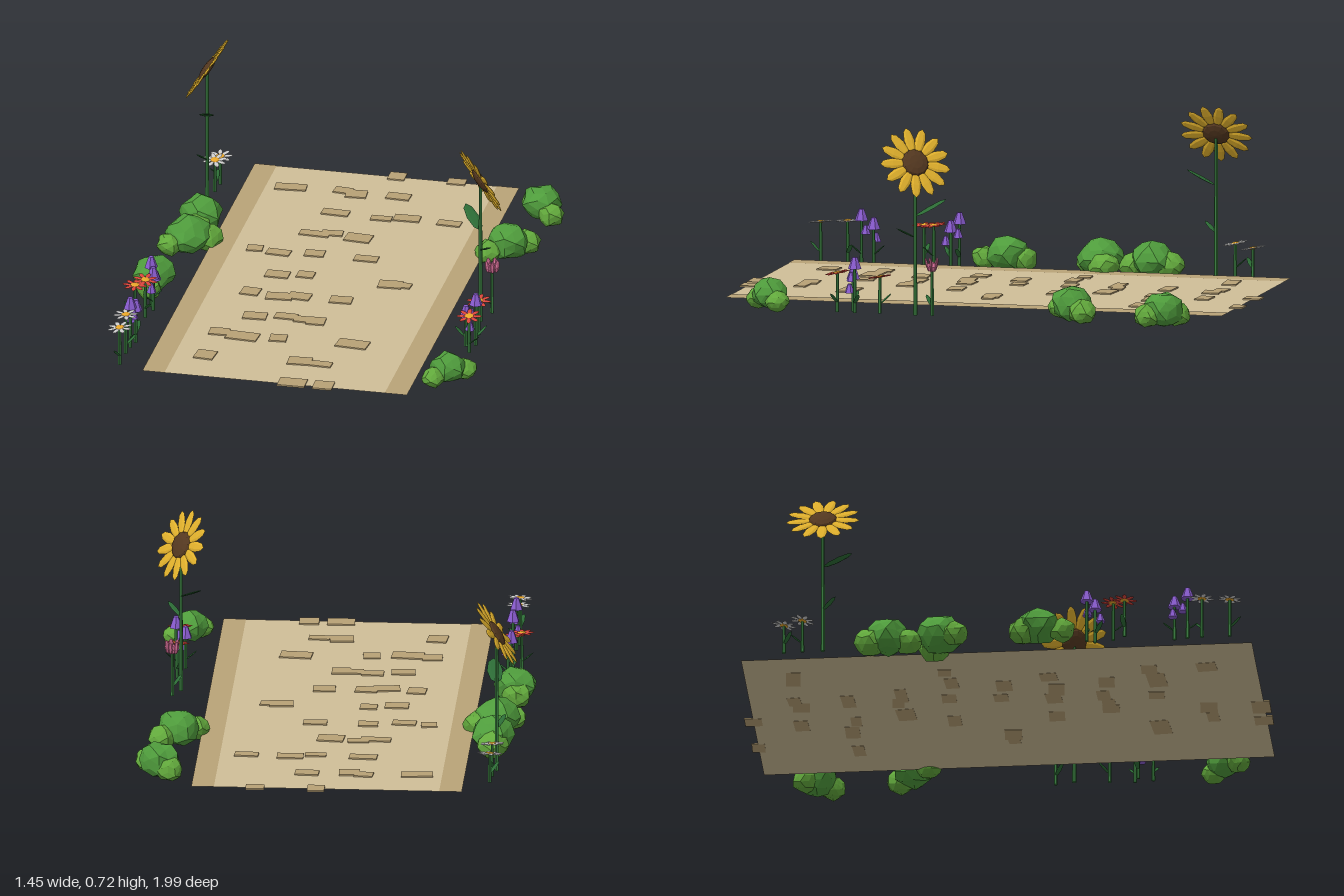
import * as THREE from 'three';

const mats = {};
const mat = (color) => (mats[color] ??= new THREE.MeshStandardMaterial({ color, flatShading: true, side: THREE.DoubleSide }));
const V = (x, y, z) => new THREE.Vector3(x, y, z);
const UP = V(0, 1, 0);
const GREEN = 0x3a8040, LEAF = 0x2c6b35, GOLD = 0xe0b02c, SEED = 0x543820;
const PURPLE = 0x8a5cd0, RED = 0xd8453c, WHITE = 0xeeeeee, ORANGE = 0xe8a62a, PINK = 0xd9709a;

function add(parent, name, geometry, color, x = 0, y = 0, z = 0) {
  const mesh = new THREE.Mesh(geometry, mat(color));
  mesh.name = name;
  mesh.position.set(x, y, z);
  parent.add(mesh);
  return mesh;
}

// Slim pointed blade between two points, flat side turned up (petals and leaves)
function blade(parent, name, from, to, width, thick, color) {
  const dir = to.clone().sub(from), len = dir.length();
  dir.normalize();
  const side = Math.abs(dir.y) > 0.95 ? V(1, 0, 0) : V(0, 1, 0).cross(dir).normalize();
  const flat = side.clone().cross(dir);
  const m = add(parent, name, new THREE.SphereGeometry(1, 6, 4), color);
  m.quaternion.setFromRotationMatrix(new THREE.Matrix4().makeBasis(side, dir, flat));
  m.scale.set(width / 2, len / 2, thick / 2);
  m.position.copy(from).add(to).multiplyScalar(0.5);
}

// Flower disc with petals, facing its own +y
function head(parent, n, inner, outer, width, thick, color, discColor, discR) {
  const g = new THREE.Group();
  g.name = 'flowerHead';
  for (let i = 0; i < n; i++) {
    const a = (i / n) * Math.PI * 2, c = Math.cos(a), s = Math.sin(a);
    blade(g, 'petal', V(c * inner, 0, s * inner), V(c * outer, 0, s * outer), width, thick, color);
  }
  const disc = add(g, 'flowerCentre', new THREE.SphereGeometry(discR, 10, 6), discColor);
  disc.scale.y = 0.28;
  parent.add(g);
  return g;
}

function stem(parent, x, z, y0, y1, r) {
  add(parent, 'stem', new THREE.CylinderGeometry(r * 0.8, r, y1 - y0, 6), GREEN, x, (y0 + y1) / 2, z);
}

function sunflower(x, y, z, normal, leaves) {
  const g = new THREE.Group();
  g.name = 'sunflower';
  stem(g, x, z, 0.02, y, 0.008);
  const h = head(g, 13, 0.04, 0.14, 0.042, 0.01, GOLD, SEED, 0.054);
  h.position.set(x, y, z);
  h.quaternion.setFromUnitVectors(UP, normal.normalize());
  for (const [ly, dx, dy, dz, w] of leaves)
    blade(g, 'leaf', V(x, ly, z), V(x + dx, ly + dy, z + dz), w, 0.008, LEAF);
  return g;
}

function smallStem(x, y, z, k) {
  const g = new THREE.Group();
  stem(g, x, z, 0.025, y, 0.007);
  const a = k * 2.4;
  blade(g, 'leaf', V(x, 0.06, z), V(x + Math.cos(a) * 0.045, 0.1, z + Math.sin(a) * 0.045), 0.02, 0.006, LEAF);
  return g;
}

function daisy(x, y, z, color, k) {
  const g = smallStem(x, y, z, k);
  g.name = 'daisy';
  const h = head(g, 8, 0.01, 0.048, 0.018, 0.006, color, ORANGE, 0.018);
  h.position.set(x, y, z);
  h.rotation.set(0.12, k, 0.08);
  return g;
}

function bellFlower(x, y, z, k) {
  const g = smallStem(x, y, z, k);
  g.name = 'bellFlower';
  add(g, 'bell', new THREE.CylinderGeometry(0.01, 0.026, 0.044, 6), PURPLE, x, y, z);
  const a = k * 1.7, bx = x + Math.cos(a) * 0.02, bz = z + Math.sin(a) * 0.02;
  add(g, 'lowerBell', new THREE.CylinderGeometry(0.007, 0.019, 0.034, 6), PURPLE, bx, y - 0.055, bz);
  return g;
}

function tulip(x, y, z) {
  const g = smallStem(x, y, z, 1);
  g.name = 'tulip';
  add(g, 'cup', new THREE.SphereGeometry(0.02, 6, 4), PINK, x, y, z);
  for (let i = 0; i < 5; i++) {
    const a = (i / 5) * Math.PI * 2, c = Math.cos(a), s = Math.sin(a);
    blade(g, 'petal', V(x + c * 0.012, y - 0.018, z + s * 0.012), V(x + c * 0.026, y + 0.035, z + s * 0.026), 0.02, 0.01, PINK);
  }
  return g;
}

// Lumpy faceted foliage: each blob is [x, z, radius, y, half height]
function bush(blobs, seed) {
  const g = new THREE.Group();
  g.name = 'bush';
  blobs.forEach(([x, z, r, y, ry], b) => {
    const geo = new THREE.IcosahedronGeometry(1, 1), p = geo.attributes.position;
    for (let i = 0; i < p.count; i++) {
      const v = V().fromBufferAttribute(p, i);
      const k = 0.98 + 0.09 * Math.sin(v.x * 5.1 + v.y * 7.3 + v.z * 6.2 + seed + b);
      p.setXYZ(i, v.x * k, v.y * k, v.z * k);
    }
    geo.computeVertexNormals();
    add(g, 'foliage', geo, b ? 0x62a93c : 0x4f9c3c, x, y, z).scale.set(r, ry, r);
  });
  return g;
}

export function createModel() {
  const root = new THREE.Group();
  root.name = 'gardenPath';

  // Path bed with darker borders
  const flat = (name, w, x, y, color) => {
    add(root, name, new THREE.PlaneGeometry(w, 1.93), color, x, y, 0.005).rotation.x = -Math.PI / 2;
  };
  flat('pathBed', 1.02, -0.01, 0.043, 0xcfbe98);
  flat('pathBorder', 0.085, -0.4775, 0.0445, 0xb9a378);
  flat('pathBorder', 0.085, 0.4575, 0.0445, 0xb9a378);

  // Paving stones, by row: z, then x, width, depth of each
  const rows = [
    [-0.96, [0.03, 0.065, 0.065], [0.26, 0.07, 0.05]],
    [-0.78, [-0.34, 0.12, 0.055], [-0.14, 0.07, 0.05], [-0.085, 0.08, 0.065], [0.075, 0.09, 0.055]],
    [-0.585, [-0.125, 0.105, 0.05], [0.055, 0.08, 0.04], [0.15, 0.1, 0.055], [0.315, 0.09, 0.045]],
    [-0.39, [-0.16, 0.115, 0.045], [-0.095, 0.08, 0.045], [0.01, 0.1, 0.07]],
    [-0.2, [-0.35, 0.06, 0.05], [-0.255, 0.09, 0.05], [-0.12, 0.075, 0.055], [0.08, 0.09, 0.05]],
    [0, [-0.215, 0.09, 0.06], [-0.11, 0.065, 0.055], [0.22, 0.09, 0.065], [0.265, 0.07, 0.045]],
    [0.19, [-0.28, 0.07, 0.065], [-0.165, 0.1, 0.06], [-0.09, 0.085, 0.06], [0.07, 0.085, 0.06]],
    [0.385, [-0.215, 0.09, 0.06], [-0.1, 0.085, 0.05], [-0.02, 0.09, 0.05], [0.02, 0.07, 0.065]],
    [0.575, [-0.315, 0.075, 0.06], [-0.22, 0.12, 0.07], [-0.085, 0.065, 0.06], [0.2, 0.12, 0.07]],
    [0.77, [-0.32, 0.075, 0.075], [0.04, 0.09, 0.065], [0.125, 0.08, 0.045]],
    [0.957, [0.055, 0.105, 0.07], [0.175, 0.075, 0.07]],
  ];
  rows.forEach(([z, ...stones], r) => stones.forEach(([x, w, d], i) => {
    const dz = r % 10 ? 0.012 * Math.sin(r * 3 + i * 2.2) : 0;
    add(root, 'pavingStone', new THREE.BoxGeometry(w, 0.006, d), 0xb8a175, x, 0.045, z + dz)
      .rotation.y = 0.08 * Math.sin(r * 1.9 + i * 2.7);
  }));

  // Bushes: main blob plus two side blobs
  const bushes = [
    [[-0.6, -0.4, 0.082], [-0.605, -0.465, 0.06], [-0.605, -0.325, 0.054]],
    [[-0.605, -0.2, 0.088], [-0.54, -0.23, 0.06], [-0.665, -0.14, 0.05]],
    [[-0.655, 0.175, 0.08], [-0.66, 0.115, 0.055], [-0.655, 0.265, 0.05]],
    [[0.63, -0.77, 0.078], [0.595, -0.81, 0.053], [0.68, -0.715, 0.05]],
    [[0.585, -0.4, 0.08], [0.645, -0.455, 0.053], [0.52, -0.34, 0.05]],
    [[0.615, 0.77, 0.068], [0.67, 0.725, 0.045], [0.57, 0.825, 0.045]],
  ];
  bushes.forEach((b, i) => root.add(bush(b.map(([x, z, r], j) =>
    [x, z, r, j ? 0.06 : 0.082, j ? r * 0.9 : r * 0.86]), i * 1.3)));

  // Sunflowers
  root.add(sunflower(-0.632, 0.567, -0.642, V(0.83, -0.56, 0),
    [[0.37, 0.02, 0.06, 0.11, 0.06], [0.19, -0.03, 0.04, 0.05, 0.025]]));
  root.add(sunflower(0.612, 0.6, 0.203, V(0.72, 0.45, -0.52),
    [[0.395, -0.08, 0.06, -0.1, 0.05], [0.315, 0.052, 0.04, 0.06, 0.025]]));

  // Small flowers
  [
    [-0.615, 0.14, -0.79, WHITE], [-0.62, 0.155, -0.72, WHITE],
    [-0.625, 0.18, 0.455, RED], [-0.655, 0.175, 0.5, RED],
    [-0.625, 0.185, 0.79, WHITE], [-0.625, 0.178, 0.895, WHITE],
    [0.635, 0.165, 0.335, RED], [0.635, 0.175, 0.5, RED],
  ].forEach(([x, y, z, c], i) => root.add(daisy(x, y, z, c, i + 1)));
  [
    [-0.625, 0.21, 0.355], [-0.61, 0.18, 0.385], [-0.61, 0.18, 0.685], [-0.62, 0.21, 0.735],
    [0.61, 0.17, 0.445], [0.645, 0.215, 0.43],
  ].forEach(([x, y, z], i) => root.add(bellFlower(x, y, z, i)));
  root.add(tulip(0.64, 0.21, 0.13));

  return root;
}
